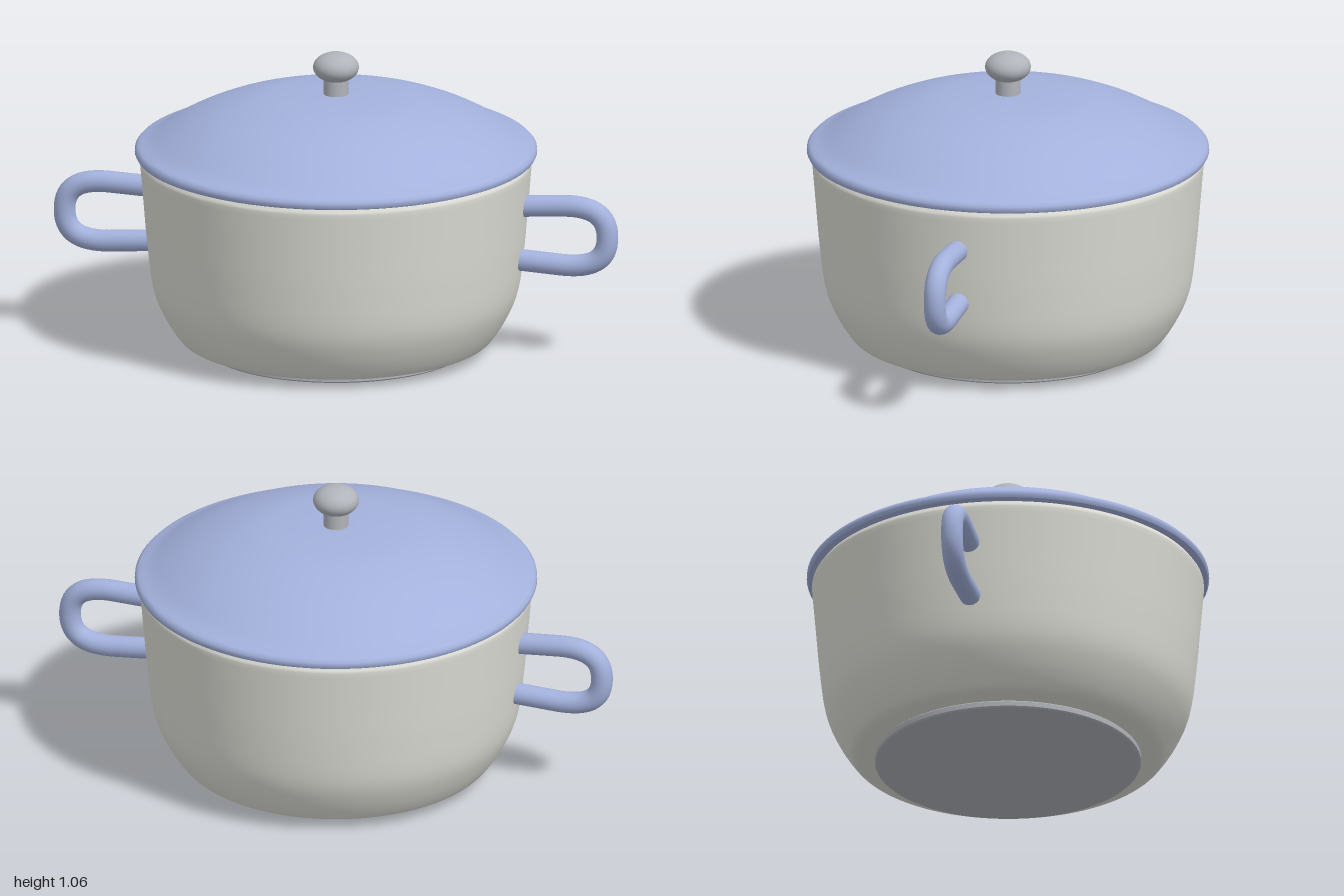
import * as THREE from 'three';
import { toCreasedNormals } from 'three/addons/utils/BufferGeometryUtils.js';

const mat = (name, color) => new THREE.MeshStandardMaterial({ name, color });
const vecs = (pts) => pts.map(([x, y]) => new THREE.Vector2(x, y));
const smooth = (pts, n) => new THREE.SplineCurve(vecs(pts)).getPoints(n);

export function createModel() {
  const cream = mat('warm grey enamel', 0xdcdcd5);
  const blue = mat('soft blue enamel', 0xa3b1dc);
  const steel = mat('steel', 0xb0b4ba);
  const group = new THREE.Group();

  const add = (name, geometry, material, parent = group) => {
    const mesh = new THREE.Mesh(geometry, material);
    mesh.name = name;
    parent.add(mesh);
    return mesh;
  };
  // Profiles run up the outside, over the rim and back down the inside
  const lathe = (points, segments = 96) =>
    toCreasedNormals(new THREE.LatheGeometry(points, segments), 0.7);

  // Hollow pot body
  const outer = smooth([[0.52, 0.03], [0.55, 0.048], [0.6, 0.125], [0.637, 0.22],
    [0.657, 0.37], [0.671, 0.53], [0.683, 0.672]], 32);
  const inner = smooth([[0.65, 0.68], [0.635, 0.5], [0.605, 0.23], [0.56, 0.11], [0.49, 0.06]], 20);
  add('potBody', lathe([
    ...vecs([[0, 0.026], [0.46, 0.026]]), ...outer,
    ...vecs([[0.682, 0.68], [0.676, 0.687], [0.67, 0.697], [0.655, 0.697]]), ...inner,
    ...vecs([[0, 0.06]]),
  ]), cream);

  // Base plate
  add('basePlate', lathe(vecs([[0, 0], [0.459, 0], [0.464, 0.005], [0.464, 0.022],
    [0.46, 0.026], [0, 0.026]])), steel);

  // Domed lid with a rounded lip
  const dome = smooth([[0.69, 0.731], [0.645, 0.75], [0.577, 0.79], [0.5, 0.83], [0.4, 0.869],
    [0.28, 0.9], [0.16, 0.912], [0.08, 0.915], [0, 0.915]], 40);
  add('lid', lathe([
    ...vecs([[0, 0.885], [0.28, 0.87], [0.5, 0.8], [0.62, 0.735], [0.64, 0.696], [0.686, 0.694],
      [0.696, 0.698], [0.701, 0.708], [0.7, 0.72]]), ...dome,
  ]), blue);

  // Lid knob on a short stem
  const stem = add('knobStem', new THREE.CylinderGeometry(0.043, 0.043, 0.075, 40), steel);
  stem.position.y = 0.945;
  const knob = add('knob', new THREE.SphereGeometry(0.08, 40, 24), steel);
  knob.scale.y = 0.66;
  knob.position.y = 1.012;

  // Looped side handles, mirrored by a half turn
  const R = 0.038;
  const path = new THREE.CurvePath();
  const v = (x, y) => new THREE.Vector3(x, y, 0);
  path.add(new THREE.LineCurve3(v(0.645, 0.543), v(0.8, 0.552)));
  path.add(new THREE.CubicBezierCurve3(v(0.8, 0.552), v(0.91, 0.558), v(0.962, 0.525), v(0.962, 0.445)));
  path.add(new THREE.CubicBezierCurve3(v(0.962, 0.445), v(0.962, 0.365), v(0.91, 0.332), v(0.8, 0.338)));
  path.add(new THREE.LineCurve3(v(0.8, 0.338), v(0.635, 0.349)));
  const tube = new THREE.TubeGeometry(path, 64, R, 20);
  for (const side of ['left', 'right']) {
    const handle = new THREE.Group();
    handle.name = side + 'Handle';
    handle.rotation.y = side === 'left' ? 0 : Math.PI;
    add('handleLoop', tube, blue, handle);
    for (const [x, y] of [[0.645, 0.543], [0.635, 0.349]]) {
      const cap = add('handleEnd', new THREE.CircleGeometry(R, 20), blue, handle);
      cap.rotation.y = -Math.PI / 2;
      cap.position.set(x, y, 0);
    }
    group.add(handle);
  }
  return group;
}
